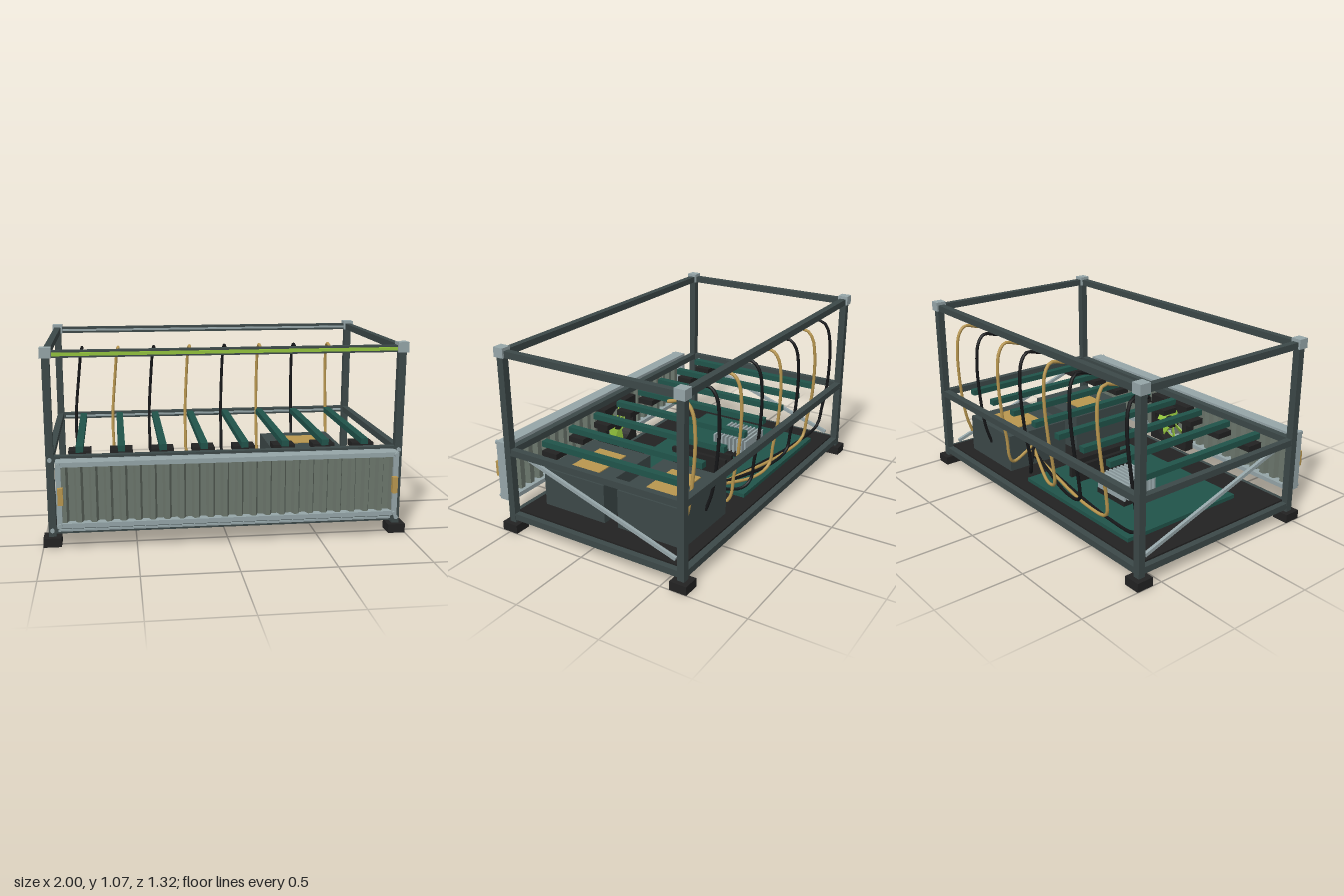
import * as THREE from 'three';

const mat = (name, color) => Object.assign(new THREE.MeshStandardMaterial({ color }), { name });

export function createModel() {
  const root = new THREE.Group();
  root.name = 'openRackComputer';
  const frame = mat('dark frame', 0x3c4848);
  const metal = mat('light metal', 0x95a5a8);
  const black = mat('black', 0x222222);
  const cableBlack = mat('cable black', 0x151618);
  const sheet = mat('grey green sheet', 0x6c776d);
  const green = mat('board green', 0x20534a);
  const gold = mat('brass', 0xb9974f);
  const lime = mat('lime', 0x93c43c);

  const add = (name, geo, m, x = 0, y = 0, z = 0, parent = root) => {
    const mesh = new THREE.Mesh(geo, m);
    mesh.name = name;
    mesh.position.set(x, y, z);
    parent.add(mesh);
    return mesh;
  };
  const box = (name, m, w, h, d, x, y, z, parent) => add(name, new THREE.BoxGeometry(w, h, d), m, x, y, z, parent);
  const bolt = (name, x, y, z) => {
    const g = new THREE.CylinderGeometry(0.012, 0.012, 0.014, 10).rotateX(Math.PI / 2);
    add(name, g, metal, x, y, z);
  };

  // Frame: posts, feet, corner caps and rails
  const PX = 0.952, ZF = 0.5, ZB = -0.607, T = 0.041;
  const zMid = (ZF + ZB) / 2, levels = [0.085, 0.477, 1.038];
  for (const x of [-PX, PX]) {
    for (const z of [ZF, ZB]) {
      box('post', frame, T, 0.98, T, x, 0.54, z);
      box('foot', black, 0.096, 0.05, 0.1, x, 0.025, z);
      box('cornerCap', metal, 0.06, 0.055, 0.062, x, 1.046, z);
    }
    for (const y of levels) {
      box('sideRail', frame, 0.037, 0.037, ZF - ZB - T, x, y, zMid);
      bolt('postBolt', x, y, ZF + 0.024);
    }
    // Diagonal side brace
    const a = new THREE.Vector3(x * 0.972, 0.462, 0.45), b = new THREE.Vector3(x * 0.972, 0.137, -0.55);
    const brace = add('diagonalBrace', new THREE.BoxGeometry(0.018, 0.02, a.distanceTo(b)), metal);
    brace.position.copy(a).add(b).multiplyScalar(0.5);
    brace.lookAt(a);
  }
  for (const z of [ZF, ZB]) for (const y of levels) {
    box('longRail', frame, 2 * PX - T, 0.037, 0.04, 0, y, z);
    const lit = z === ZF && y > 1;
    box(lit ? 'lightStrip' : 'railSlot', lit ? lime : metal, 1.84, lit ? 0.018 : 0.012, 0.008, 0, y, z + 0.023);
  }
  box('basePlate', black, 1.87, 0.045, 1.07, 0, 0.0905, zMid);

  // Front panel: rectangular surround with corrugated sheet
  const rect = (P, w, h) => {
    const s = new P();
    s.moveTo(-w, -h); s.lineTo(w, -h); s.lineTo(w, h); s.lineTo(-w, h); s.closePath();
    return s;
  };
  const ring = rect(THREE.Shape, 0.918, 0.178);
  ring.holes.push(rect(THREE.Path, 0.89, 0.153));
  add('panelSurround', new THREE.ExtrudeGeometry(ring, { depth: 0.077, bevelEnabled: false }), metal, 0, 0.312, 0.557);
  const wave = [], ribs = 23, pitch = 1.78 / ribs;
  for (let i = 0; i < ribs; i++) {
    const x = -0.89 + i * pitch;
    wave.push([x, 0], [x + pitch * 0.3, 0], [x + pitch * 0.45, 0.03], [x + pitch * 0.85, 0.03]);
  }
  wave.push([0.89, 0]);
  const outline = [...wave.map(([x, y]) => new THREE.Vector2(x, y)),
    ...wave.slice().reverse().map(([x, y]) => new THREE.Vector2(x, y + 0.008))];
  const corr = new THREE.ExtrudeGeometry(new THREE.Shape(outline), { depth: 0.306, bevelEnabled: false });
  add('corrugatedSheet', corr.rotateX(-Math.PI / 2), sheet, 0, 0.159, 0.618);
  for (const x of [-0.895, 0.895]) {
    box('panelHandle', gold, 0.028, 0.09, 0.027, x, 0.313, 0.647);
    for (const y of [0.148, 0.477]) bolt('panelScrew', x * 1.008, y, 0.641);
  }

  // Intake fan behind the front panel
  const fan = new THREE.Group();
  fan.name = 'intakeFan';
  fan.position.set(0, 0.298, 0.455);
  root.add(fan);
  const housing = rect(THREE.Shape, 0.162, 0.148);
  housing.holes.push(new THREE.Path().absarc(0, 0, 0.128, 0, Math.PI * 2, true));
  add('fanHousing', new THREE.ExtrudeGeometry(housing, { depth: 0.065, bevelEnabled: false, curveSegments: 20 }), black, 0, 0, 0, fan);
  add('fanRing', new THREE.TorusGeometry(0.134, 0.008, 6, 28), lime, 0, 0, 0.067, fan);
  add('fanHub', new THREE.CylinderGeometry(0.04, 0.04, 0.04, 16).rotateX(Math.PI / 2), black, 0, 0, 0.032, fan);
  for (let i = 0; i < 7; i++) {
    const blade = new THREE.BoxGeometry(0.09, 0.045, 0.006).rotateX(0.5).translate(0.078, 0, 0.032);
    add('fanBlade', blade.rotateZ(i * Math.PI * 2 / 7), lime, 0, 0, 0, fan);
  }

  // Main board with heat sink and memory
  box('mainBoard', green, 0.92, 0.022, 0.79, -0.3, 0.134, -0.125);
  box('heatSinkBase', black, 0.235, 0.03, 0.235, -0.363, 0.16, -0.195);
  for (let i = 0; i < 9; i++) box('heatSinkFin', metal, 0.235, 0.09, 0.012, -0.363, 0.218, -0.304 + i * 0.0272);
  for (const x of [-0.067, 0.01]) box('memoryStick', black, 0.024, 0.102, 0.37, x, 0.196, -0.13);

  // Power supplies with brass label plates and vents
  for (const z of [0.193, -0.307]) {
    box('powerSupply', frame, 0.445, 0.227, 0.41, 0.578, 0.2265, z);
    box('labelPlate', gold, 0.273, 0.006, 0.186, 0.58, 0.343, z - 0.003);
    for (let i = 0; i < 7; i++) box('ventSlat', black, 0.33, 0.009, 0.008, 0.578, 0.155 + i * 0.023, z + 0.208);
  }

  // Card bars, their clamps and the hooked cables
  for (let i = 0; i < 8; i++) {
    const x = -0.8 + i * 0.2283;
    box('cardBar', green, 0.04, 0.034, 0.884, x, 0.495, -0.055);
    box('barClamp', black, 0.124, 0.032, 0.1, x, 0.463, 0.303);
    const s = (0.55 - x) * 0.038, last = x > 0.35;
    const pts = [
      [x, 0.915, -0.43], [x, 0.934, -0.525], [x - s * 0.2, 0.89, -0.565], [x - s * 0.5, 0.76, -0.584],
      [x - s, 0.5, -0.57], [x - s, 0.34, -0.545],
    ];
    if (last) pts.push([x - s, 0.235, -0.51]);
    else pts.push([x - s * 0.6, 0.22, -0.53], [x + (0.35 - x) * 0.2, 0.18, -0.5], [0.36, 0.19 + i * 0.012, -0.36 + i * 0.006]);
    const curve = new THREE.CatmullRomCurve3(pts.map(p => new THREE.Vector3(...p)));
    const m = i % 2 ? gold : cableBlack;
    add('cable', new THREE.TubeGeometry(curve, 48, 0.0095, 8), m);
    add('cableTip', new THREE.SphereGeometry(0.0098, 8, 6), m, ...pts[0]);
  }
  return root;
}
